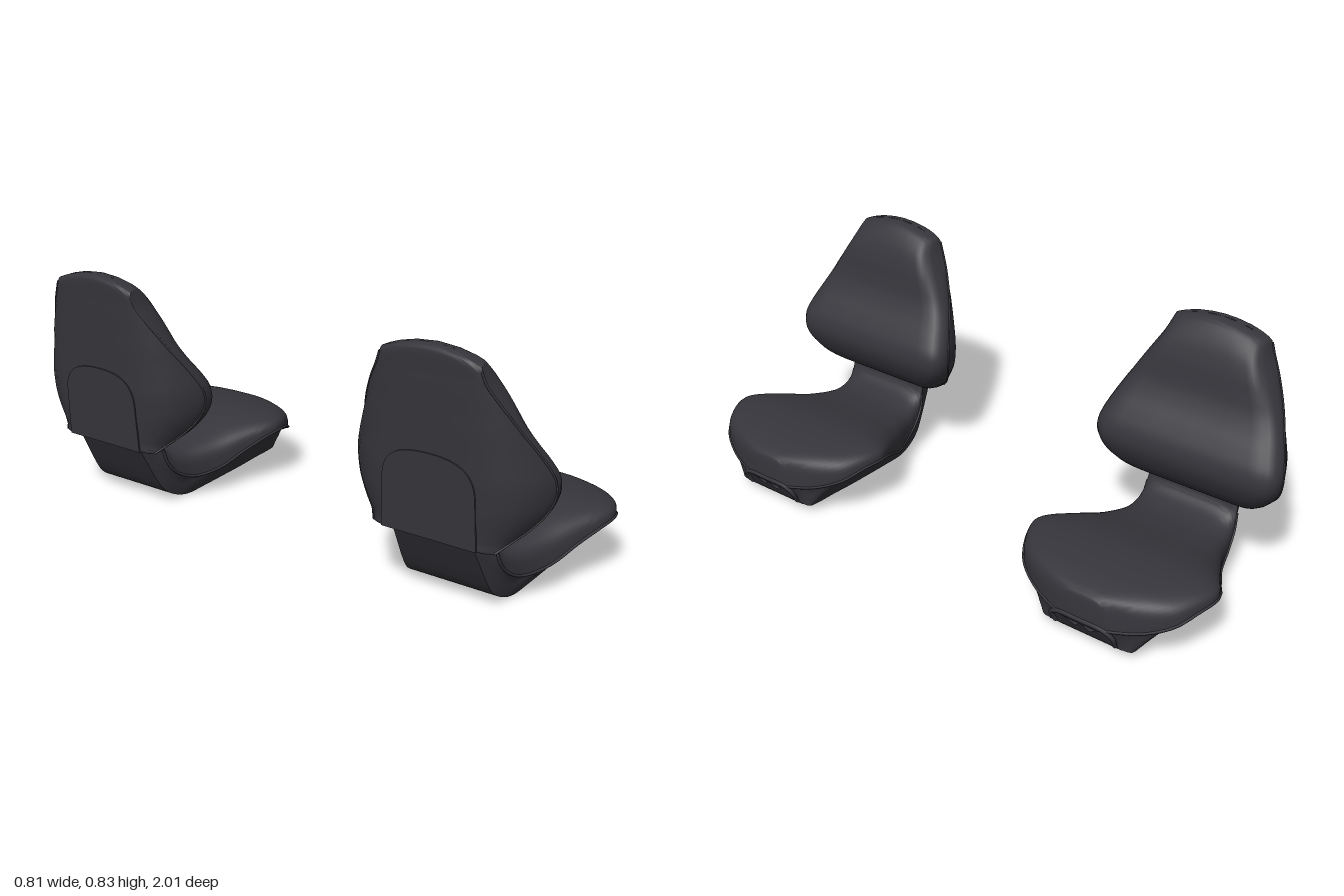
import * as THREE from 'three';
import { toCreasedNormals } from 'three/addons/utils/BufferGeometryUtils.js';

const charcoal = new THREE.MeshStandardMaterial({ color: 0x35353b, side: THREE.DoubleSide });
charcoal.name = 'charcoal vinyl';

const V = (x, y, z) => new THREE.Vector3(x, y, z);
const lerp = THREE.MathUtils.lerp;

function mesh(name, geometry) {
  const m = new THREE.Mesh(geometry, charcoal);
  m.name = name;
  return m;
}

// Half sections (z >= 0) become full mirrored ones
function mirrored(half) {
  const other = half.map(p => V(p.x, p.y, -p.z)).reverse();
  return half[0].z === 0 ? [...other, ...half.slice(1)] : [...half, ...other.slice(1)];
}

// Smooth skin through a row of cross-sections
function loft(halves, crease, perSpan = 4) {
  const sections = halves.map(mirrored);
  const cols = sections[0].length;
  const rows = (sections.length - 1) * perSpan;
  const pos = [], index = [];
  const curves = sections[0].map((_, j) =>
    new THREE.CatmullRomCurve3(sections.map(s => s[j]), false, 'catmullrom', 0.5));
  for (let i = 0; i <= rows; i++) {
    for (const c of curves) pos.push(...c.getPoint(i / rows).toArray());
  }
  for (let i = 0; i < rows; i++) {
    for (let j = 0; j < cols - 1; j++) {
      const a = i * cols + j, b = a + 1, c = a + cols, d = c + 1;
      index.push(a, b, c, b, d, c);
    }
  }
  const g = new THREE.BufferGeometry();
  g.setAttribute('position', new THREE.Float32BufferAttribute(pos, 3));
  g.setIndex(index);
  return toCreasedNormals(g, crease);
}

function piping(name, points, radius) {
  const curve = new THREE.CatmullRomCurve3(points);
  return mesh(name, new THREE.TubeGeometry(curve, 80, radius, 6));
}

// Backrest stations from the top down: y, front x, seam x, back x, half width, crown
const BACK = [
  [0.800, -0.372, -0.372, -0.372, 0.165, 0.035],
  [0.798, -0.350, -0.385, -0.395, 0.168, 0.035],
  [0.785, -0.325, -0.392, -0.404, 0.171, 0.033],
  [0.75, -0.291, -0.388, -0.402, 0.184, 0.015],
  [0.70, -0.269, -0.370, -0.400, 0.213, 0],
  [0.65, -0.258, -0.345, -0.397, 0.242, 0],
  [0.60, -0.245, -0.318, -0.395, 0.268, 0],
  [0.55, -0.220, -0.285, -0.392, 0.293, 0],
  [0.50, -0.185, -0.255, -0.389, 0.315, 0],
  [0.45, -0.157, -0.230, -0.387, 0.332, 0],
  [0.40, -0.150, -0.224, -0.384, 0.334, 0],
  [0.35, -0.164, -0.240, -0.382, 0.319, 0],
  [0.30, -0.194, -0.275, -0.379, 0.284, 0],
  [0.255, -0.245, -0.320, -0.377, 0.238, 0],
  [0.230, -0.305, -0.350, -0.375, 0.212, 0],
  [0.228, -0.345, -0.345, -0.345, 0.205, 0],
];

function backrest() {
  const g = new THREE.Group();
  g.name = 'backrest';
  const halves = BACK.map(([y, xf, xs, xb, w, crown]) => {
    const e = xf - xs, d = xs - xb;
    return [
      [xf, 0], [xf, 0.4], [xf, 0.72], [xs + 0.97 * e, 0.84], [xs + 0.85 * e, 0.92],
      [xs + 0.6 * e, 0.975], [xs + 0.3 * e, 0.997], [xs, 1],
      [xs - 0.2 * d, 0.97], [xb + 0.5 * d, 0.91], [xb + 0.25 * d, 0.81],
      [xb + 0.08 * d, 0.68], [xb, 0.54], [xb, 0.25], [xb, 0],
    ].map(([x, k]) => V(x, y + crown * (1 - k * k), k * w));
  });
  g.add(mesh('backrestBody', loft(halves, 0.8)));

  // Seam between padding and rear shell
  for (const s of [1, -1]) {
    g.add(piping('backrestSeam', BACK.slice(2, -1).map(b => V(b[2], b[0], s * (b[4] - 0.001))), 0.004));
  }

  // Arched cover on the rear
  const arch = new THREE.Shape();
  arch.moveTo(-0.165, 0);
  arch.lineTo(0.165, 0);
  arch.lineTo(0.16, 0.17);
  arch.bezierCurveTo(0.155, 0.25, 0.1, 0.275, 0, 0.275);
  arch.bezierCurveTo(-0.1, 0.275, -0.155, 0.25, -0.16, 0.17);
  const cover = mesh('rearCover', new THREE.ExtrudeGeometry(arch, { depth: 0.006, bevelEnabled: false, curveSegments: 16 }));
  cover.rotation.set(0, -Math.PI / 2, 0.052, 'ZYX');
  cover.position.set(-0.3735, 0.232, 0);
  g.add(cover);
  return g;
}

// Seat stations, neck to front: top x y, seam x y, bottom x y, half width, base half width, hollow
const SEAT = [
  [-0.262, 0.275, -0.280, 0.270, -0.362, 0.245, 0.165, 0.140, 0],
  [-0.262, 0.237, -0.268, 0.210, -0.325, 0.175, 0.170, 0.145, 0],
  [-0.246, 0.210, -0.250, 0.155, -0.287, 0.103, 0.175, 0.150, 0],
  [-0.210, 0.192, -0.205, 0.104, -0.250, 0.048, 0.182, 0.155, 0],
  [-0.150, 0.185, -0.135, 0.075, -0.200, 0.016, 0.198, 0.160, 0],
  [-0.050, 0.199, -0.050, 0.090, -0.140, 0.001, 0.240, 0.165, 0],
  [0.040, 0.223, 0.040, 0.140, -0.060, 0.006, 0.285, 0.170, 0.04],
  [0.110, 0.237, 0.110, 0.176, 0.060, 0.013, 0.321, 0.172, 0.04],
  [0.165, 0.242, 0.165, 0.190, 0.150, 0.018, 0.335, 0.172, 0.04],
  [0.230, 0.240, 0.230, 0.182, 0.230, 0.023, 0.318, 0.170, 0.04],
  [0.300, 0.231, 0.300, 0.150, 0.330, 0.028, 0.276, 0.168, 0.04],
  [0.350, 0.218, 0.350, 0.120, 0.354, 0.030, 0.200, 0.155, 0],
  [0.380, 0.205, 0.383, 0.105, 0.355, 0.030, 0.115, 0.110, 0],
  [0.393, 0.188, 0.394, 0.100, 0.356, 0.030, 0.070, 0.070, 0],
  [0.397, 0.100, 0.397, 0.100, 0.357, 0.030, 0.000, 0.000, 0],
];

function seat() {
  const g = new THREE.Group();
  g.name = 'seat';

  // Padded top with rounded shoulders
  const cushion = SEAT.map(([xt, yt, xs, ys, , , w]) =>
    Array.from({ length: 13 }, (_, i) => {
      const a = i / 12 * Math.PI / 2;
      const h = i === 12 ? 0 : Math.sqrt(Math.cos(a));
      return V(lerp(xs, xt, h), lerp(ys, yt, h), w * Math.sqrt(Math.sin(a)));
    }));
  g.add(mesh('cushion', loft(cushion, 0.9)));

  // Tapered pan with a hollow underside
  const pan = SEAT.map(([, , xs, ys, xb, yb, w, wb, hollow]) => {
    const p = (t, z, up = 0) => V(lerp(xs, xb, t), lerp(ys, yb, t) + up, Math.max(0, z));
    return [
      p(0, w), p(0.08, lerp(w, wb, 0.12)), p(0.18, lerp(w, wb, 0.34)), p(0.45, lerp(w, wb, 0.55)),
      p(0.75, lerp(w, wb, 0.8)), p(1, wb), p(1, wb - 0.012), p(1, wb - 0.014, hollow), p(1, 0, hollow),
    ];
  });
  g.add(mesh('seatPan', loft(pan, 0.6)));

  // Edge piping
  for (const s of [1, -1]) {
    g.add(piping('seatSeam', SEAT.slice(1).map(r => V(r[2], r[3], s * r[6])), 0.005));
  }

  // Front grip frame
  g.add(piping('frontGrip', [V(0.358, 0.035, 0.11), V(0.383, 0.08, 0.112), V(0.392, 0.102, 0.085),
    V(0.396, 0.108, 0), V(0.392, 0.102, -0.085), V(0.383, 0.08, -0.112), V(0.358, 0.035, -0.11)], 0.008));
  return g;
}

// Lattice of ribs and bosses in the hollow
function underside() {
  const g = new THREE.Group();
  g.name = 'undersideRibs';
  g.position.set(0.105, 0.016, 0);
  g.rotation.z = 0.06;
  const rib = (x, z, length, angle) => {
    const m = mesh('rib', new THREE.BoxGeometry(length, 0.036, 0.006));
    m.position.set(x, 0.02, z);
    m.rotation.y = angle;
    g.add(m);
  };
  const dx = 0.1, dz = 0.1;
  for (let i = 0; i < 5; i++) rib(-0.19 + i * dx, 0, 0.31, Math.PI / 2);
  for (let j = 0; j < 4; j++) rib(0.01, -0.15 + j * dz, 0.41, 0);
  for (let i = 0; i < 4; i++) {
    for (let j = 0; j < 3; j++) {
      const x = -0.14 + i * dx, z = -0.1 + j * dz;
      rib(x, z, 0.13, (i + j) % 2 ? Math.PI / 4 : -Math.PI / 4);
      const boss = mesh('boss', new THREE.CylinderGeometry(0.028, 0.028, 0.036, 16, 1, true));
      boss.position.set(x, 0.02, z);
      g.add(boss);
    }
  }
  return g;
}

export function createModel() {
  const model = new THREE.Group();
  model.name = 'pairOfSeats';
  for (const [name, z] of [['leftSeat', 0.665], ['rightSeat', -0.665]]) {
    const chair = new THREE.Group();
    chair.name = name;
    chair.position.z = z;
    chair.add(backrest(), seat(), underside());
    model.add(chair);
  }
  return model;
}
